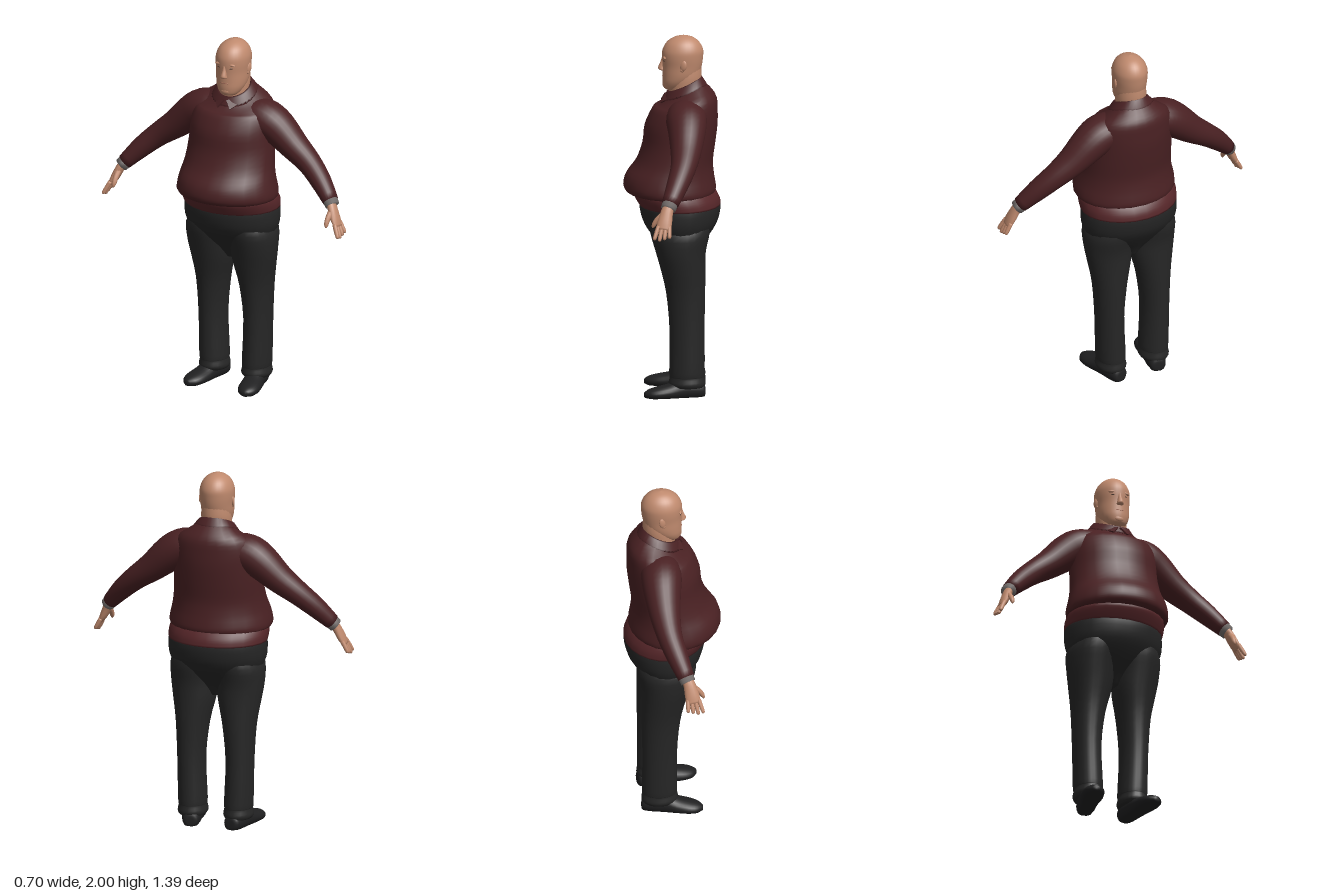
import * as THREE from 'three';

const mat = (name, color) => Object.assign(new THREE.MeshStandardMaterial({ color }), { name });
const M = {
  skin: mat('skin', 0xc08a6e), lips: mat('lips', 0xa86e5a), eyes: mat('eyes', 0x4a352c),
  sweater: mat('sweater maroon', 0x4a2123), band: mat('hem maroon', 0x562629),
  cuff: mat('cuff grey', 0x77716f), trousers: mat('trouser charcoal', 0x262626), shoe: mat('shoe black', 0x202021),
};
const V = (x, y, z) => new THREE.Vector3(x, y, z);
const UP = V(0, 1, 0), FWD = V(0, 0, 1);

// Smooth interpolation of section rows [x, y, z, halfA, halfB]
function smooth(rows, steps) {
  if (steps < 2) return rows;
  const out = [];
  for (let i = 0; i < rows.length - 1; i++) {
    const p = [rows[Math.max(i - 1, 0)], rows[i], rows[i + 1], rows[Math.min(i + 2, rows.length - 1)]];
    for (let k = 0; k < steps; k++) {
      const t = k / steps;
      out.push(p[1].map((b, n) => {
        const a = p[0][n], c = p[2][n], d = p[3][n];
        const v = b + 0.5 * t * (c - a + t * (2 * a - 5 * b + 4 * c - d + t * (3 * (b - c) + d - a)));
        return n > 2 ? Math.max(v, 0.001) : v;
      }));
    }
  }
  out.push(rows[rows.length - 1]);
  return out;
}

// Elliptical loft; sections face a fixed direction or follow the path
function loft(rowsIn, { dir = null, ref = FWD, sides = 24, steps = 3, shape = null } = {}) {
  const rows = smooth(rowsIn, steps), pos = [], idx = [], n = rows.length;
  const centre = (r) => V(r[0], r[1], r[2]);
  rows.forEach((r, i) => {
    const T = dir || centre(rows[Math.min(i + 1, n - 1)]).sub(centre(rows[Math.max(i - 1, 0)])).normalize();
    const N = ref.clone().cross(T).normalize(), B = T.clone().cross(N);
    for (let j = 0; j < sides; j++) {
      const t = (j / sides) * Math.PI * 2;
      const p = centre(r).addScaledVector(N, r[3] * Math.cos(t)).addScaledVector(B, r[4] * Math.sin(t));
      if (shape) shape(p);
      pos.push(p.x, p.y, p.z);
    }
  });
  for (let i = 0; i < n - 1; i++) for (let j = 0; j < sides; j++) {
    const a = i * sides + j, b = i * sides + (j + 1) % sides;
    idx.push(a, b, b + sides, a, b + sides, a + sides);
  }
  // end caps
  const c0 = n * sides, last = (n - 1) * sides;
  for (const r of [rows[0], rows[n - 1]]) {
    const p = centre(r);
    if (shape) shape(p);
    pos.push(p.x, p.y, p.z);
  }
  for (let j = 0; j < sides; j++) {
    const k = (j + 1) % sides;
    idx.push(c0, k, j, c0 + 1, last + j, last + k);
  }
  const g = new THREE.BufferGeometry();
  g.setAttribute('position', new THREE.Float32BufferAttribute(pos, 3));
  g.setIndex(idx);
  g.computeVertexNormals();
  return g;
}

// Upright loft from rows [y, halfWidth, halfDepth, zCentre]
const column = (rows, opt = {}) => loft(rows.map(([y, a, b, c]) => [0, y, c, a, b]), { dir: UP, ...opt });

// The neckline slopes down from the nape to the throat
const slopeNeck = (p) => {
  const w = THREE.MathUtils.clamp((p.y - 1.6) / 0.14, 0, 1);
  p.y -= 0.45 * w * Math.max(0, p.z + 0.19);
};

export function createModel() {
  const model = new THREE.Group(), body = new THREE.Group();
  body.name = 'body';
  body.rotation.y = -1.16;
  body.position.z = -0.015;
  model.add(body);
  const add = (name, geo, material, parent = body) => {
    const m = new THREE.Mesh(geo, material);
    m.name = name;
    parent.add(m);
    return m;
  };
  const blob = (name, material, p, s, rz = 0) => {
    const m = add(name, new THREE.SphereGeometry(1, 16, 12), material);
    m.position.set(...p); m.scale.set(...s); m.rotation.z = rz;
    return m;
  };

  // Sweater with overhanging belly and a lower hem band
  add('sweater', column([
    [1.135, 0.255, 0.21, -0.04], [1.125, 0.28, 0.236, -0.03], [1.145, 0.288, 0.252, -0.022], [1.18, 0.284, 0.252, -0.018],
    [1.23, 0.272, 0.24, -0.022], [1.30, 0.258, 0.212, -0.045], [1.40, 0.25, 0.2, -0.07], [1.50, 0.245, 0.2, -0.082],
    [1.58, 0.238, 0.183, -0.10], [1.65, 0.21, 0.16, -0.118], [1.70, 0.15, 0.132, -0.115], [1.755, 0.09, 0.09, -0.1],
  ], { shape: slopeNeck }), M.sweater);
  add('sweaterHem', column([
    [1.055, 0.277, 0.224, -0.076], [1.09, 0.28, 0.232, -0.062], [1.125, 0.275, 0.23, -0.045], [1.15, 0.26, 0.21, -0.04],
  ]), M.band);

  // Folded collar with two pointed flaps at the throat
  add('collar', column([
    [1.71, 0.132, 0.124, -0.106], [1.73, 0.122, 0.117, -0.104], [1.767, 0.096, 0.098, -0.1], [1.769, 0.087, 0.089, -0.1], [1.74, 0.075, 0.075, -0.1],
  ], { shape: slopeNeck, steps: 1, sides: 32 }), M.sweater);
  for (const s of [1, -1]) {
    const flap = new THREE.Shape([[0, 0], [0.065, 0.04], [0.07, 0.0], [0.035, -0.045]].map(([x, y]) => new THREE.Vector2(s * x, y)));
    const m = add('collarFlap', new THREE.ExtrudeGeometry(flap, { depth: 0.008, bevelEnabled: false }), M.sweater);
    m.position.set(s * 0.004, 1.668, 0.004);
    m.rotation.set(-0.75, s * 0.4, 0);
  }

  // Head and neck
  add('neck', column([
    [1.64, 0.08, 0.08, -0.1], [1.72, 0.083, 0.086, -0.1], [1.76, 0.084, 0.09, -0.104], [1.80, 0.081, 0.087, -0.107], [1.85, 0.075, 0.08, -0.11],
  ]), M.skin);
  add('head', column([
    [1.69, 0.025, 0.03, -0.05], [1.705, 0.053, 0.056, -0.045], [1.74, 0.077, 0.084, -0.064], [1.78, 0.088, 0.1, -0.08],
    [1.83, 0.091, 0.108, -0.088], [1.88, 0.095, 0.113, -0.09], [1.92, 0.092, 0.111, -0.092], [1.96, 0.074, 0.09, -0.093],
    [1.988, 0.042, 0.052, -0.095], [2.0, 0.004, 0.004, -0.095],
  ], { sides: 32, steps: 4 }), M.skin);
  add('nose', loft([
    [0, 1.802, 0.015, 0.012, 0.012], [0, 1.808, 0.022, 0.02, 0.018], [0, 1.82, 0.024, 0.017, 0.02],
    [0, 1.85, 0.017, 0.011, 0.014], [0, 1.88, 0.014, 0.008, 0.008],
  ], { dir: UP, sides: 16 }), M.skin);
  blob('chin', M.skin, [0, 1.725, 0.005], [0.03, 0.02, 0.015]);
  blob('upperLip', M.lips, [0, 1.773, 0.016], [0.024, 0.004, 0.005]);
  blob('lowerLip', M.lips, [0, 1.764, 0.013], [0.02, 0.004, 0.005]);
  for (const s of [1, -1]) {
    blob('browRidge', M.skin, [s * 0.036, 1.882, 0.007], [0.027, 0.008, 0.01], s * -0.1);
    blob('eye', M.eyes, [s * 0.036, 1.862, 0.0105], [0.012, 0.003, 0.004]).rotation.y = s * 0.35;
    const ear = blob('ear', M.skin, [s * 0.092, 1.845, -0.095], [0.009, 0.03, 0.019]);
    ear.rotation.set(-0.15, s * -0.3, 0);
    blob('earLobe', M.skin, [s * 0.09, 1.82, -0.088], [0.007, 0.011, 0.01]);
  }

  // Seat of the trousers
  add('trouserSeat', column([
    [0.74, 0.03, 0.05, -0.09], [0.80, 0.11, 0.09, -0.085], [0.87, 0.225, 0.145, -0.08], [0.95, 0.27, 0.2, -0.078],
    [1.02, 0.278, 0.22, -0.077], [1.06, 0.275, 0.222, -0.076],
  ]), M.trousers);

  for (const s of [1, -1]) {
    const side = s > 0 ? 'left' : 'right';
    const rows = (list) => list.map(([x, ...r]) => [s * x, ...r]);

    // Trouser leg with a loose gathered bottom
    add(side + 'Leg', loft(rows([
      [0.132, 0.055, -0.118, 0.074, 0.09], [0.132, 0.075, -0.115, 0.083, 0.101], [0.132, 0.11, -0.115, 0.076, 0.095],
      [0.133, 0.14, -0.115, 0.08, 0.097], [0.14, 0.38, -0.115, 0.078, 0.096], [0.135, 0.58, -0.108, 0.094, 0.107],
      [0.13, 0.72, -0.092, 0.12, 0.123], [0.133, 0.82, -0.08, 0.131, 0.139], [0.13, 0.92, -0.077, 0.134, 0.163], [0.11, 1.0, -0.077, 0.11, 0.16],
    ]), { dir: UP }), M.trousers);

    // Shoe, toed outwards with a flat sole
    const shoe = add(side + 'Shoe', loft([
      [0, 0.03, -0.1, 0.02, 0.02], [0, 0.035, -0.09, 0.042, 0.046], [0, 0.04, -0.04, 0.053, 0.06], [0, 0.04, 0.03, 0.054, 0.062],
      [0, 0.03, 0.1, 0.06, 0.046], [0, 0.024, 0.165, 0.06, 0.037], [0, 0.02, 0.21, 0.045, 0.028], [0, 0.018, 0.238, 0.015, 0.014],
    ], { dir: FWD, ref: UP, shape: (p) => { p.y = Math.max(p.y, 0); } }), M.shoe);
    shoe.position.set(s * 0.135, 0, -0.115);
    shoe.rotation.y = s * 0.2;

    // Sleeve, cuff and hand
    add(side + 'Sleeve', loft(rows([
      [0.06, 1.59, -0.115, 0.06, 0.09], [0.13, 1.58, -0.112, 0.09, 0.108], [0.2, 1.56, -0.112, 0.102, 0.112], [0.27, 1.515, -0.115, 0.098, 0.104],
      [0.37, 1.43, -0.11, 0.08, 0.086], [0.47, 1.355, -0.095, 0.066, 0.07], [0.56, 1.275, -0.062, 0.057, 0.06], [0.642, 1.188, -0.022, 0.043, 0.046],
    ])), M.sweater);
    add(side + 'Cuff', loft(rows([
      [0.63, 1.2, -0.028, 0.041, 0.044], [0.659, 1.168, -0.013, 0.039, 0.042],
    ]), { steps: 1 }), M.cuff);
    const hand = new THREE.Group();
    hand.name = side + 'Hand';
    body.add(hand);
    add('palm', loft(rows([
      [0.644, 1.185, -0.02, 0.024, 0.03], [0.664, 1.15, -0.006, 0.024, 0.034],
      [0.69, 1.095, 0.006, 0.021, 0.04], [0.71, 1.06, 0.013, 0.012, 0.038],
    ]), { sides: 16 }), M.skin, hand);
    for (let k = -1.5; k <= 1.5; k++) {
      const z = 0.01 + k * 0.02, len = 1 - 0.1 * Math.abs(k - 0.5);
      const at = (t, r) => [0.7 + 0.034 * t, 1.08 - 0.078 * t * len, z + (0.012 + 0.008 * k) * t, r, r];
      add('finger', loft(rows([at(0, 0.012), at(0.5, 0.012), at(0.9, 0.01), at(1, 0.004)]), { sides: 10 }), M.skin, hand);
    }
    add('thumb', loft(rows([
      [0.664, 1.14, 0.013, 0.017, 0.017], [0.663, 1.11, 0.046, 0.015, 0.015],
      [0.663, 1.08, 0.066, 0.012, 0.012], [0.666, 1.063, 0.073, 0.004, 0.004],
    ]), { sides: 10 }), M.skin, hand);
  }
  return model;
}
